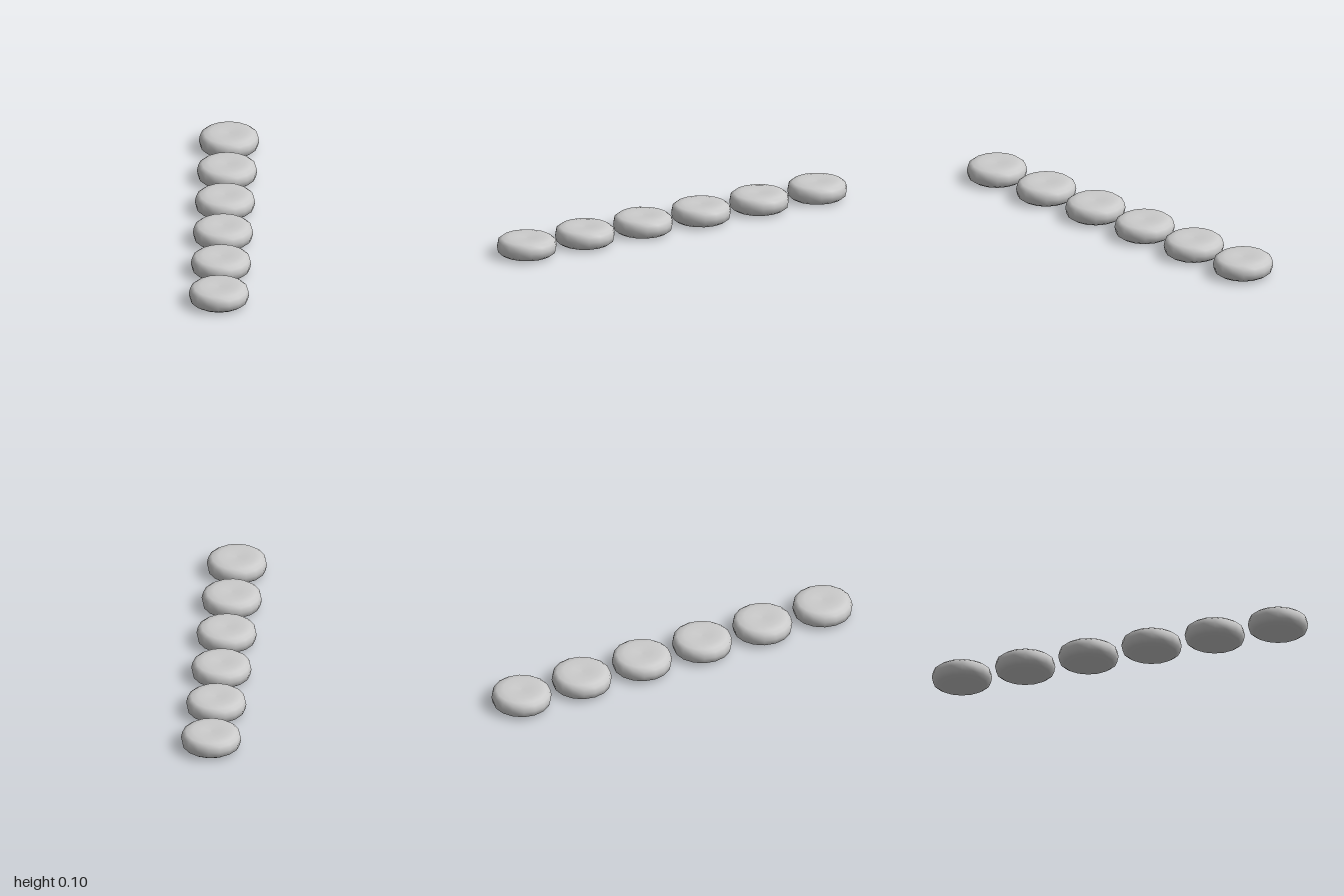
import * as THREE from 'three';

// Half profile of one rounded disc, from the bottom centre to the top centre
const PROFILE = [
  [0, 0.006], [0.05, 0.003], [0.092, 0.0], [0.126, 0.007], [0.145, 0.02], [0.151, 0.049],
  [0.145, 0.077], [0.126, 0.091], [0.092, 0.097], [0.05, 0.094], [0, 0.091],
];
const COUNT = 6;
const SPACING = 0.34;

export function createModel() {
  const model = new THREE.Group();
  model.name = 'discRow';

  const material = new THREE.MeshStandardMaterial({ color: 0xcccccc });
  const points = PROFILE.map(([r, y]) => new THREE.Vector2(r, y));
  const geometry = new THREE.LatheGeometry(points, 16);

  // Row of equal discs along z
  for (let i = 0; i < COUNT; i++) {
    const disc = new THREE.Mesh(geometry, material);
    disc.name = `disc${i + 1}`;
    disc.position.z = (i - (COUNT - 1) / 2) * SPACING;
    model.add(disc);
  }
  return model;
}
